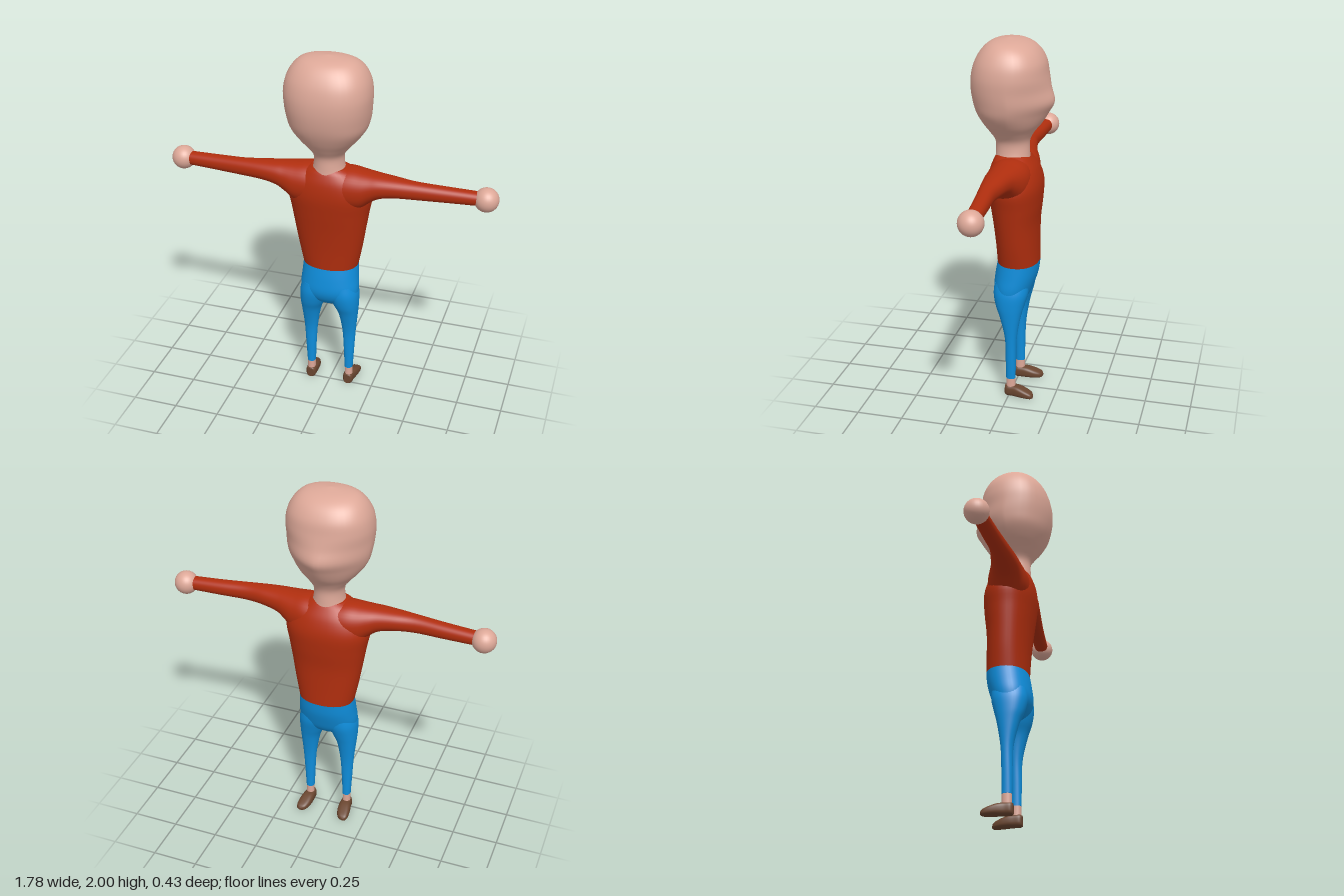
import * as THREE from 'three';

const mat = (name, color) => {
  const m = new THREE.MeshStandardMaterial({ color });
  m.name = name;
  return m;
};

// Smooth loft through rounded sections. Row: [s, uMin, uMax, vMin, vMax, exponent at -u, exponent at +u].
// axis y: u = z, v = x; axis x: u = y, v = z; axis z: u = x, v = y.
function loft(axis, rows, steps = 5, sides = 40) {
  const full = rows.map(r => [...r, 2.2, 2.2].slice(0, 7).map((v, i) => (i > 4 && r.length < 6 ? 2.2 : v)));
  const at = i => full[Math.max(0, Math.min(full.length - 1, i))];
  const place = (s, u, v) => (axis === 'y' ? [v, s, u] : axis === 'x' ? [s, u, v] : [u, v, s]);
  const pos = [], idx = [], rings = [];

  for (let k = 0; k <= (full.length - 1) * steps; k++) {
    const i = Math.min(Math.floor(k / steps), full.length - 2), t = k / steps - i;
    const r = at(i).map((b, c) => {
      const a = at(i - 1)[c], d = at(i + 1)[c], e = at(i + 2)[c];
      return b + 0.5 * t * (d - a + t * (2 * a - 5 * b + 4 * d - e + t * (3 * (b - d) + e - a)));
    });
    const ring = [];
    for (let j = 0; j < sides; j++) {
      const q = (j / sides) * Math.PI * 2, c = Math.cos(q), w = Math.sin(q);
      const n = 2 / (c < 0 ? r[5] : r[6]);
      const u = (r[1] + r[2]) / 2 + Math.sign(c) * Math.abs(c) ** n * (r[2] - r[1]) / 2;
      const v = (r[3] + r[4]) / 2 + Math.sign(w) * Math.abs(w) ** n * (r[4] - r[3]) / 2;
      ring.push(place(r[0], u, v));
    }
    rings.push({ ring, mid: place(r[0], (r[1] + r[2]) / 2, (r[3] + r[4]) / 2) });
    pos.push(...ring.flat());
  }
  for (let k = 0; k < rings.length - 1; k++) {
    for (let j = 0; j < sides; j++) {
      const a = k * sides + j, b = k * sides + ((j + 1) % sides);
      idx.push(a, b, b + sides, a, b + sides, a + sides);
    }
  }
  // flat end caps
  [rings[0], rings[rings.length - 1]].forEach(({ ring, mid }, end) => {
    const base = pos.length / 3;
    pos.push(...ring.flat(), ...mid);
    for (let j = 0; j < sides; j++) {
      const a = base + j, b = base + ((j + 1) % sides);
      idx.push(base + sides, end ? a : b, end ? b : a);
    }
  });
  const g = new THREE.BufferGeometry();
  g.setAttribute('position', new THREE.Float32BufferAttribute(pos, 3));
  g.setIndex(idx);
  g.computeVertexNormals();
  return g;
}

export function createModel() {
  const model = new THREE.Group();
  const skin = mat('skin', 0xdda898);
  const red = mat('shirt red', 0xb02e0e);
  const blue = mat('trouser blue', 0x0f8edc);
  const brown = mat('shoe brown', 0x6a4630);
  const add = (name, geometry, material) => {
    const m = new THREE.Mesh(geometry, material);
    m.name = name;
    model.add(m);
    return m;
  };

  // head and neck, with a pointed face on the -z side
  add('headAndNeck', loft('y', [
    [1.34, -0.09, 0.1, -0.1, 0.1, 2, 2],
    [1.40, -0.085, 0.095, -0.082, 0.082, 2, 2],
    [1.46, -0.085, 0.097, -0.082, 0.082, 2, 2],
    [1.51, -0.108, 0.127, -0.115, 0.115, 2, 2.1],
    [1.56, -0.148, 0.16, -0.16, 0.16, 1.8, 2.2],
    [1.62, -0.185, 0.19, -0.2, 0.2, 1.6, 2.3],
    [1.68, -0.214, 0.208, -0.218, 0.218, 1.6, 2.3],
    [1.75, -0.195, 0.217, -0.226, 0.226, 1.8, 2.3],
    [1.82, -0.179, 0.213, -0.227, 0.227, 2.1, 2.3],
    [1.89, -0.163, 0.193, -0.212, 0.212, 2.2, 2.3],
    [1.95, -0.122, 0.155, -0.175, 0.175, 2.2, 2.2],
    [1.985, -0.06, 0.105, -0.118, 0.118, 2.1, 2.1],
    [2.0, 0.022, 0.024, -0.001, 0.001, 2, 2],
  ]), skin);

  // shirt body
  add('shirtBody', loft('y', [
    [0.79, -0.142, 0.082, -0.152, 0.152],
    [0.9, -0.139, 0.088, -0.174, 0.174],
    [1.02, -0.139, 0.1, -0.194, 0.194],
    [1.13, -0.15, 0.115, -0.212, 0.212],
    [1.23, -0.153, 0.126, -0.228, 0.228],
    [1.31, -0.13, 0.119, -0.2, 0.2],
    [1.365, -0.095, 0.1, -0.14, 0.14],
    [1.388, -0.075, 0.085, -0.095, 0.095],
  ]), red);

  // sleeves and shoulders in one span
  const sleeve = [
    [0.05, 1.16, 1.385, -0.12, 0.11],
    [0.12, 1.16, 1.388, -0.117, 0.11],
    [0.18, 1.175, 1.383, -0.102, 0.106],
    [0.23, 1.215, 1.379, -0.082, 0.097],
    [0.28, 1.247, 1.376, -0.063, 0.09],
    [0.36, 1.264, 1.371, -0.045, 0.08],
    [0.47, 1.27, 1.363, -0.026, 0.067],
    [0.62, 1.273, 1.355, -0.031, 0.052],
    [0.8, 1.277, 1.348, -0.037, 0.038],
  ];
  const mirrored = sleeve.map(r => [-r[0], ...r.slice(1)]).reverse();
  add('sleevesAndShoulders', loft('x', [...mirrored, ...sleeve]), red);

  // trouser seat, pinched into the crotch
  add('trouserSeat', loft('y', [
    [0.545, -0.035, 0.03, -0.05, 0.05],
    [0.565, -0.065, 0.058, -0.1, 0.1],
    [0.6, -0.092, 0.086, -0.152, 0.152],
    [0.65, -0.112, 0.1, -0.163, 0.163],
    [0.72, -0.133, 0.094, -0.158, 0.158],
    [0.79, -0.142, 0.082, -0.152, 0.152],
  ]), blue);

  for (const [side, s] of [['left', 1], ['right', -1]]) {
    const across = (a, b) => (s > 0 ? [a, b] : [-b, -a]);

    add(side + 'Hand', new THREE.SphereGeometry(0.064, 32, 20), skin).position.set(s * 0.828, 1.31, -0.003);

    add(side + 'TrouserLeg', loft('y', [
      [0.112, -0.037, 0.016, 0.088, 0.134],
      [0.23, -0.038, 0.018, 0.083, 0.141],
      [0.36, -0.043, 0.022, 0.074, 0.149],
      [0.48, -0.062, 0.05, 0.054, 0.16],
      [0.55, -0.08, 0.076, 0.025, 0.165],
      [0.62, -0.098, 0.09, 0.0, 0.164],
      [0.68, -0.1, 0.085, 0.0, 0.15],
    ].map(([y, z0, z1, a, b]) => [y, z0, z1, ...across(a, b)])), blue);

    add(side + 'Ankle', loft('y', [
      [0.04, -0.036, 0.015, ...across(0.09, 0.133)],
      [0.115, -0.036, 0.015, ...across(0.09, 0.133)],
    ]), skin);

    // shoe, running from the toe at -z to the heel
    add(side + 'Shoe', loft('z', [
      [-0.14, 0.122, 0.138, 0.008, 0.022],
      [-0.128, 0.1, 0.152, 0.003, 0.036],
      [-0.095, 0.085, 0.155, 0.002, 0.051],
      [-0.055, 0.08, 0.15, 0.002, 0.064],
      [-0.02, 0.081, 0.142, 0.002, 0.067],
      [0.008, 0.083, 0.139, 0.002, 0.067],
      [0.021, 0.092, 0.13, 0.006, 0.062],
    ].map(([z, a, b, y0, y1]) => [z, ...across(a, b), y0, y1, 2.8, 2.8])), brown);
  }
  return model;
}
